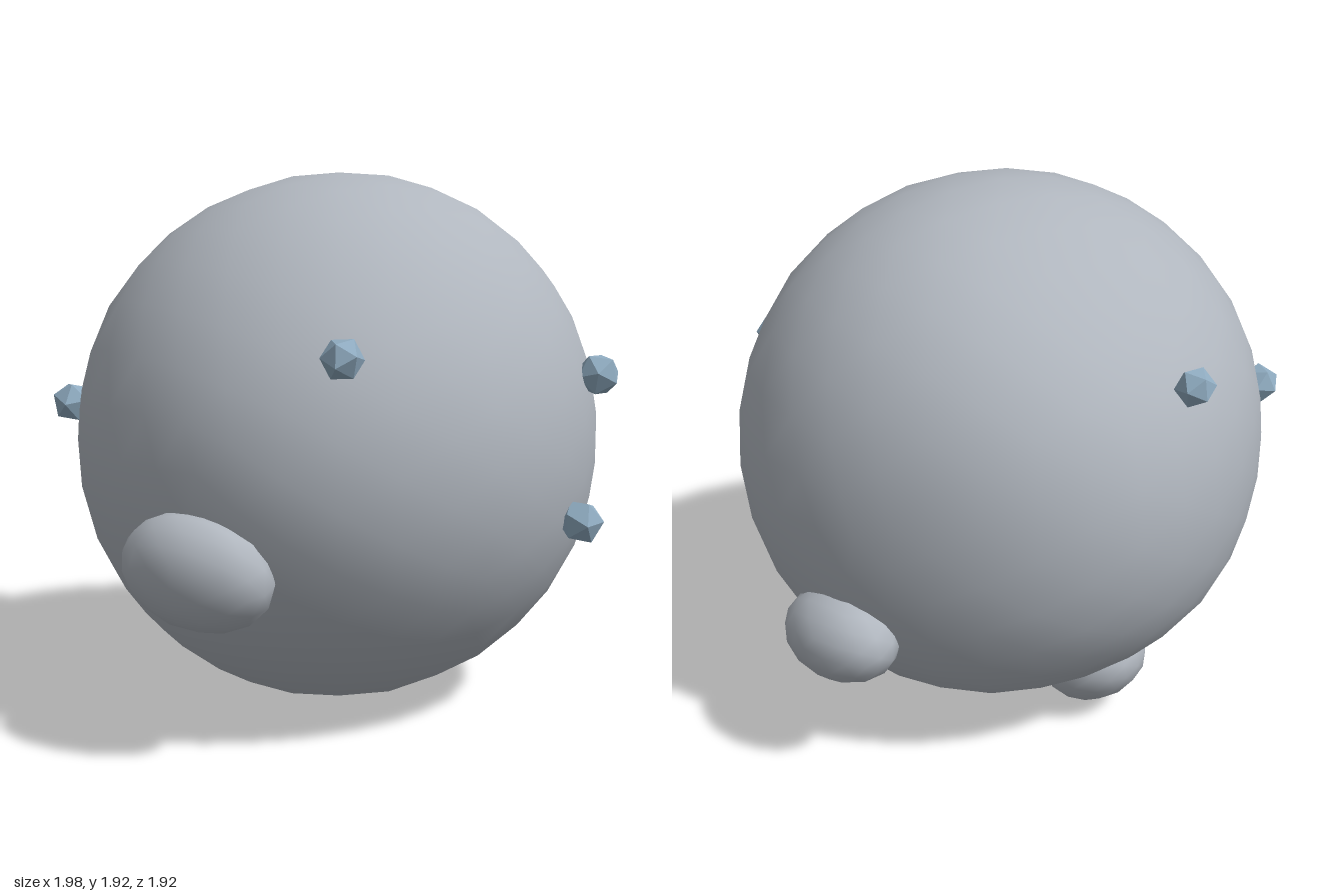
import * as THREE from 'three';
import { mergeVertices } from 'three/addons/utils/BufferGeometryUtils.js';

const V = (a) => new THREE.Vector3(...a);
const CENTRE = V([0.027, 0.968, 0]);

// Smooth, welded icosphere
function smoothBall(radius, detail) {
  const g = new THREE.IcosahedronGeometry(radius, detail);
  g.deleteAttribute('uv');
  g.deleteAttribute('normal');
  return mergeVertices(g, 1e-4);
}

// Soft dents and swells of the rock: direction, height
const SWELLS = [
  [[0.67, 0, -0.62], -0.055],
  [[0, 0.75, -0.56], -0.06],
  [[-0.63, 0, -0.69], -0.03],
  [[0.65, 0, 0.67], -0.025],
  [[-0.64, 0, 0.77], 0.04],
  [[0, -0.7, -0.62], -0.03],
  [[0, 0.58, 0.76], -0.025],
  [[0, -0.62, 0.72], -0.02],
].map(([d, h]) => [V(d).normalize(), h]);

function bodyGeometry() {
  const g = smoothBall(1, 5);
  const p = g.attributes.position;
  const v = new THREE.Vector3();
  for (let i = 0; i < p.count; i++) {
    v.fromBufferAttribute(p, i).normalize();
    let r = 0.968;
    for (const [d, h] of SWELLS) r += h * Math.exp(-8 * (1 - v.dot(d)));
    v.multiplyScalar(r);
    p.setXYZ(i, v.x, v.y, v.z);
  }
  g.computeVertexNormals();
  return g;
}

export function createModel() {
  const model = new THREE.Group();
  model.name = 'asteroid';

  const rock = new THREE.MeshStandardMaterial({ color: 0xb0b6be });
  rock.name = 'rock grey';
  const ice = new THREE.MeshStandardMaterial({ color: 0x8fabc0, flatShading: true });
  ice.name = 'crystal blue';

  // Main rock
  const body = new THREE.Mesh(bodyGeometry(), rock);
  body.name = 'rockBody';
  body.position.copy(CENTRE);
  model.add(body);

  // Flattened lumps lying on the surface: position, long direction, radii (long, across, outward)
  const lumpGeometry = smoothBall(1, 2);
  lumpGeometry.computeVertexNormals();
  const lumps = [
    [[-0.79, 0.645, 0.47], [0.53, -0.1, 0.83], [0.27, 0.2, 0.16]],
    [[0.82, 0.535, -0.34], [-0.3, 0.15, -0.93], [0.24, 0.165, 0.16]],
    [[-0.12, 0.2, -0.45], [0, -0.5, 0.86], [0.22, 0.19, 0.15]],
  ];
  lumps.forEach(([pos, along, radii], i) => {
    const lump = new THREE.Mesh(lumpGeometry, rock);
    lump.name = `lump${i + 1}`;
    lump.position.copy(V(pos));
    const out = V(pos).sub(CENTRE).normalize();
    const across = out.clone().cross(V(along)).normalize();
    const long = across.clone().cross(out);
    lump.quaternion.setFromRotationMatrix(new THREE.Matrix4().makeBasis(long, across, out));
    lump.scale.set(...radii);
    model.add(lump);
  });

  // Small faceted crystals: position, radius, turn
  const crystalGeometry = new THREE.IcosahedronGeometry(1, 0);
  const crystals = [
    [[-0.47, 1.33, 0.82], 0.07, [0.4, 0.2, 0.1]],
    [[0.625, 1.22, 0.74], 0.078, [0.9, 0.5, 0.3]],
    [[0.455, 0.74, 0.86], 0.078, [0.5, 1.1, 0.6]],
    [[-0.88, 1.11, -0.33], 0.075, [0.2, 0.8, 0.9]],
    [[-0.225, 1.42, -0.83], 0.068, [1.2, 0.3, 0.5]],
  ];
  crystals.forEach(([pos, radius, turn], i) => {
    const crystal = new THREE.Mesh(crystalGeometry, ice);
    crystal.name = `crystal${i + 1}`;
    crystal.position.copy(V(pos));
    crystal.rotation.set(...turn);
    crystal.scale.setScalar(radius);
    model.add(crystal);
  });

  return model;
}
